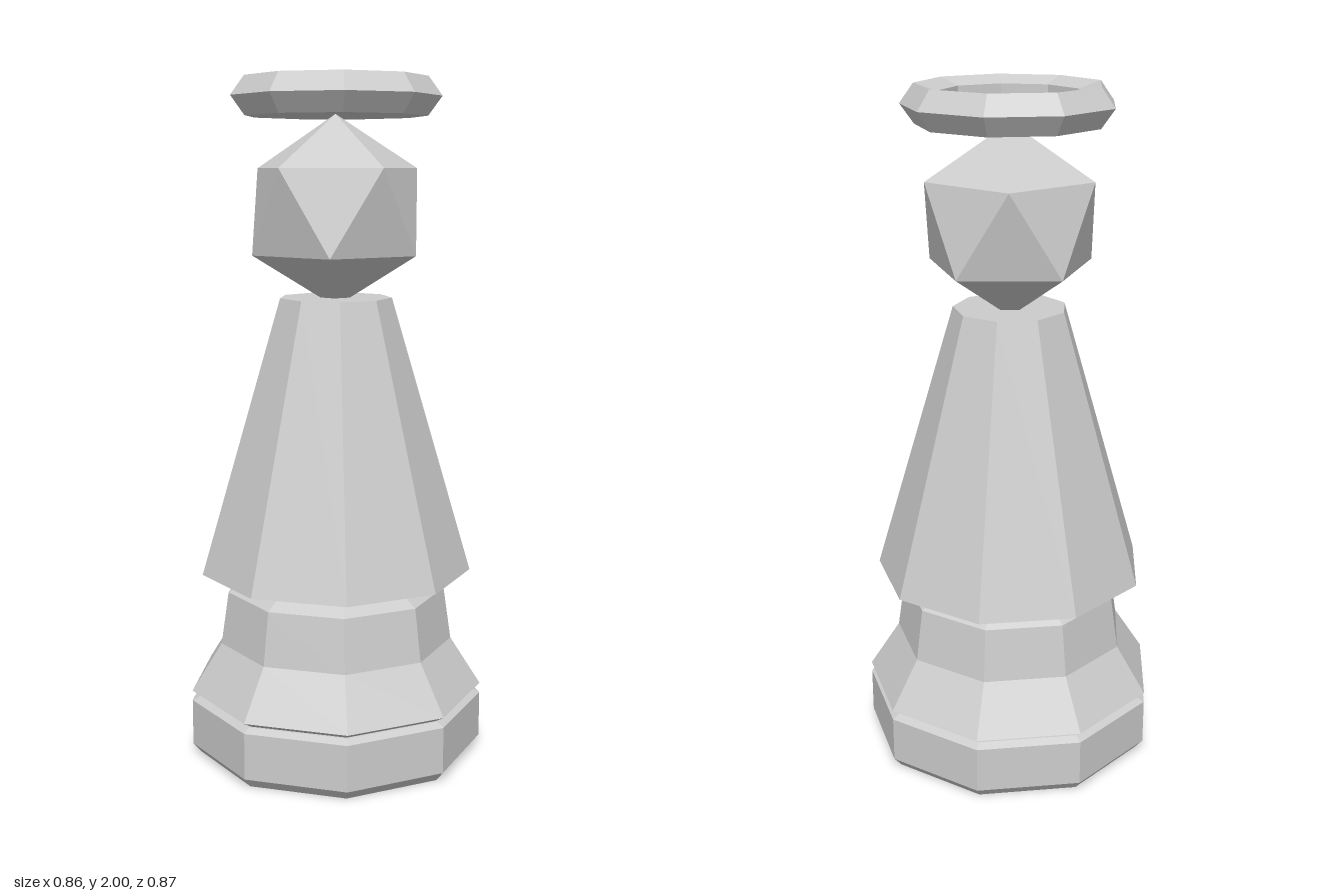
import * as THREE from 'three';

const SIDES = 9;

export function createModel() {
  const model = new THREE.Group();
  const grey = new THREE.MeshStandardMaterial({ color: 0xcccccc, flatShading: true });
  grey.name = 'grey';

  const add = (name, geometry, y = 0) => {
    const mesh = new THREE.Mesh(geometry, grey);
    mesh.name = name;
    // the nine-sided outline is centred by its bounds, not by its axis
    mesh.position.set(0.013, y, 0);
    model.add(mesh);
  };

  // nine-sided turned part, profile from bottom to top, one corner towards -x
  const turned = (profile) => new THREE.LatheGeometry(
    profile.map(([r, y]) => new THREE.Vector2(r, y)), SIDES, -Math.PI / 2);

  // plinth with bevelled rims
  add('plinth', turned([[0, 0], [0.418, 0], [0.443, 0.03], [0.443, 0.168], [0.42, 0.18], [0, 0.18]]));

  // flared collar above the groove
  add('collar', turned([[0, 0.178], [0.41, 0.178], [0.443, 0.198], [0.352, 0.34],
    [0.329, 0.497], [0.284, 0.525], [0, 0.525]]));

  // tapering body, floating just above the collar
  add('body', turned([[0, 0.557], [0.406, 0.557], [0.166, 1.372], [0, 1.372]]));

  // faceted head standing on one corner
  const head = new THREE.IcosahedronGeometry(0.276, 0);
  head.rotateZ(-Math.atan(2 / (1 + Math.sqrt(5))));
  add('head', head, 1.62);

  // ring floating over the head
  const halo = new THREE.TorusGeometry(0.247, 0.058, 5, SIDES);
  halo.rotateX(Math.PI / 2);
  halo.rotateY(Math.PI);
  add('halo', halo, 1.945);

  return model;
}
